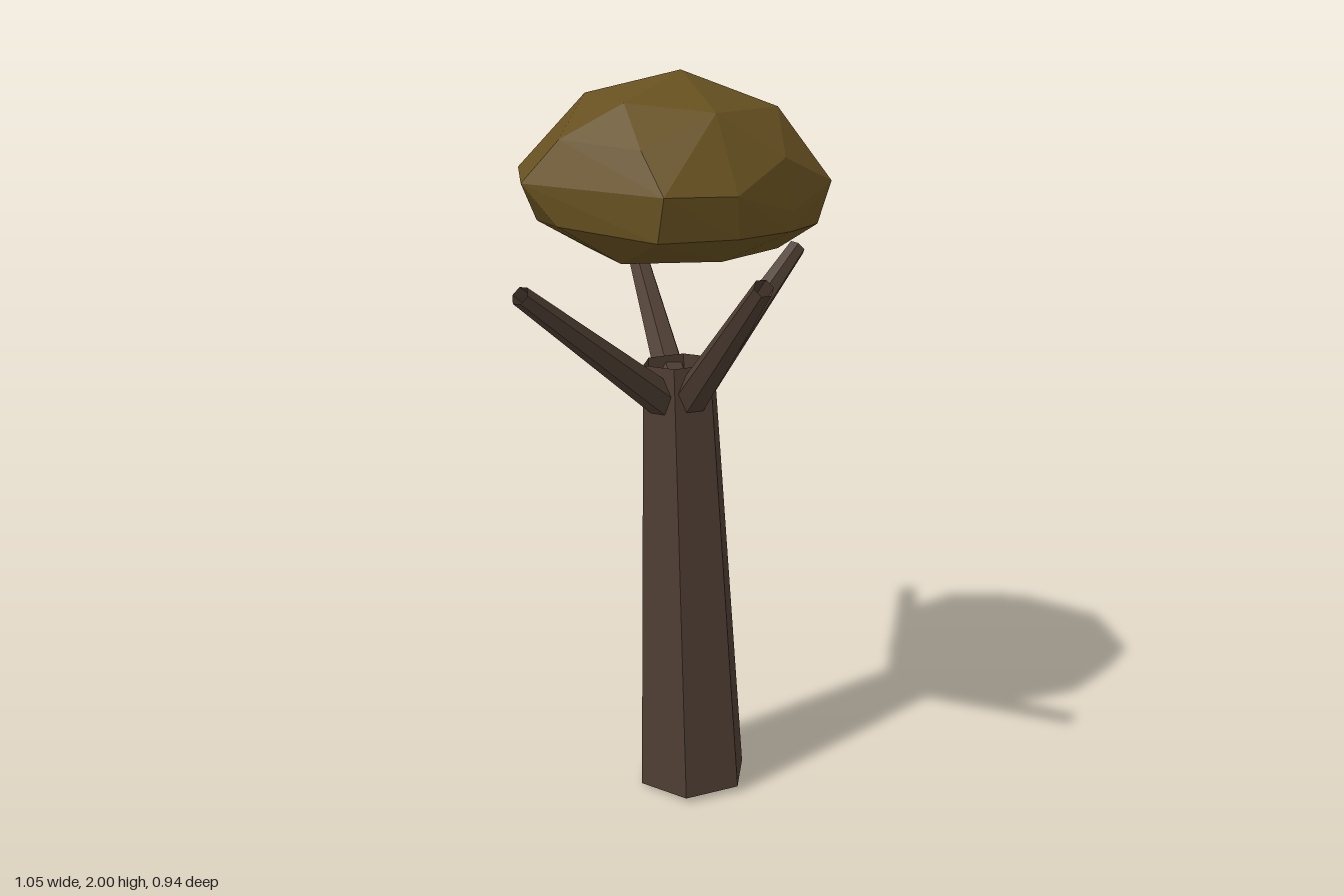
import * as THREE from 'three';
import { ConvexGeometry } from 'three/addons/geometries/ConvexGeometry.js';

const V = (x, y, z) => new THREE.Vector3(x, y, z);

export function createModel() {
  const group = new THREE.Group();
  const bark = new THREE.MeshStandardMaterial({
    color: 0x4d3d32, flatShading: true, side: THREE.DoubleSide,
  });
  const leaves = new THREE.MeshStandardMaterial({ color: 0x665020, flatShading: true });

  // Open six-sided tapered tube between two points
  function limb(name, from, to, r0, r1) {
    const dir = to.clone().sub(from);
    const mesh = new THREE.Mesh(new THREE.CylinderGeometry(r1, r0, dir.length(), 6, 1, true), bark);
    mesh.position.copy(from).add(to).multiplyScalar(0.5);
    mesh.quaternion.setFromUnitVectors(V(0, 1, 0), dir.normalize());
    mesh.name = name;
    group.add(mesh);
  }

  // Leaning trunk
  limb('trunk', V(0.03, 0.009, 0.09), V(0.045, 1.235, 0.022), 0.16, 0.104);

  // Four branches spreading from inside the trunk top
  const fork = V(0.045, 1.09, 0.03);
  const tips = {
    rightBranch: V(-0.515, 1.5, -0.03),
    leftBranch: V(0.51, 1.49, 0.095),
    backBranch: V(0.418, 1.525, -0.452),
    frontBranch: V(-0.19, 1.525, 0.448),
  };
  for (const [name, tip] of Object.entries(tips)) limb(name, fork, tip, 0.052, 0.026);

  // Faceted crown, listed ring by ring from the top down
  const crownPoints = [
    [0.05, 2, 0.02],
    // upper ring
    [-0.18, 1.93, 0.02], [0.235, 1.92, 0.02], [-0.085, 1.91, 0.23],
    [0.185, 1.91, 0.23], [0.17, 1.94, -0.2], [-0.07, 1.94, -0.2],
    // shoulder
    [0.37, 1.84, 0.13], [0.37, 1.84, -0.12], [-0.265, 1.84, -0.12], [-0.265, 1.83, 0.14],
    [0.05, 1.86, -0.378], [0.05, 1.8, 0.345],
    // widest ring
    [0.05, 1.74, -0.428], [0.28, 1.75, -0.35], [0.418, 1.72, -0.21], [0.435, 1.74, 0.03],
    [0.4, 1.71, 0.24], [0.255, 1.725, 0.355], [0.05, 1.67, 0.37], [-0.145, 1.725, 0.34],
    [-0.305, 1.73, 0.24], [-0.31, 1.73, -0.21], [-0.175, 1.75, -0.345],
    // lower ring
    [0.05, 1.615, -0.335], [0.3, 1.62, -0.25], [0.43, 1.61, 0.04], [0.37, 1.62, 0.22],
    [0.2, 1.62, 0.35], [0.05, 1.62, 0.368], [-0.13, 1.62, 0.335],
    [-0.303, 1.62, 0.22], [-0.3, 1.63, -0.1], [-0.2, 1.62, -0.26],
    // underside
    [0.305, 1.53, 0.02], [-0.195, 1.535, 0.02], [0.17, 1.55, 0.25], [-0.08, 1.55, 0.25],
    [0.17, 1.54, -0.19], [-0.08, 1.54, -0.19], [0.05, 1.512, 0.02],
  ];
  const crown = new THREE.Mesh(new ConvexGeometry(crownPoints.map((p) => V(...p))), leaves);
  crown.name = 'crown';
  group.add(crown);

  return group;
}
